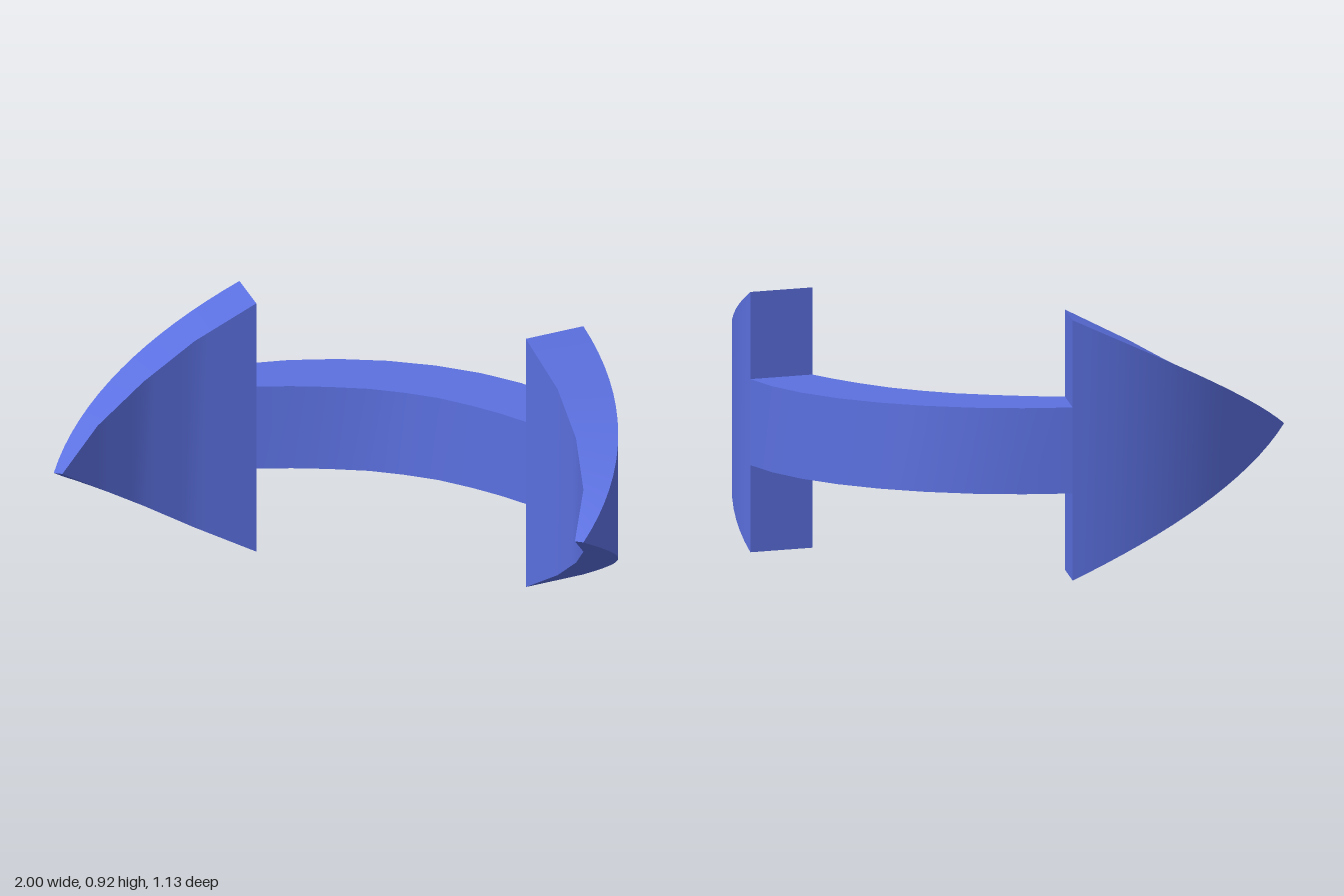
import * as THREE from 'three';
import { toCreasedNormals } from 'three/addons/utils/BufferGeometryUtils.js';

const MID = 0.46, SHAFT = 0.152, HEAD = 0.46;   // centre height and half heights
const CENTRE_Z = 0.435, JOINT = 40.1, TIP = 97.2; // outer arc of radius 1, angles in degrees

// Inner edge points [x, z] of the shaft half and of a head
const SHAFT_INNER = [[0, -0.262], [0.13, -0.255], [0.27, -0.222], [0.39, -0.183], [0.505, -0.135]];
const HEAD_INNER = [[0.505, -0.135], [0.68, 0.01], [0.81, 0.165], [0.91, 0.35], [0.96, 0.56]];

function along(points, t) {
  const f = t * (points.length - 1);
  const i = Math.min(Math.floor(f), points.length - 2);
  return [0, 1].map((k) => THREE.MathUtils.lerp(points[i][k], points[i + 1][k], f - i));
}

// Four corners: outer top, outer bottom, inner bottom, inner top
function section(side, degrees, inner, half) {
  const a = THREE.MathUtils.degToRad(degrees);
  const ox = side * Math.sin(a), oz = CENTRE_Z - Math.cos(a);
  const ix = side * inner[0], iz = inner[1];
  return [[ox, MID + half, oz], [ox, MID - half, oz], [ix, MID - half, iz], [ix, MID + half, iz]]
    .map((p) => new THREE.Vector3(...p));
}

const shaftSection = (side, t) => section(side, JOINT * t, along(SHAFT_INNER, t), SHAFT);
const headSection = (side, t) =>
  section(side, THREE.MathUtils.lerp(JOINT, TIP, t), along(HEAD_INNER, t), HEAD * (1 - t));

function addQuad(out, a, b, c, d) {
  for (const tri of [[a, b, c], [a, c, d]]) {
    if (new THREE.Triangle(...tri).getArea() > 1e-7) tri.forEach((p) => out.push(p.x, p.y, p.z));
  }
}

// Skin sections running from -x to +x
function skin(out, sections) {
  for (let i = 0; i < sections.length - 1; i++) {
    const s = sections[i], n = sections[i + 1];
    for (let k = 0; k < 4; k++) addQuad(out, s[k], n[k], n[(k + 1) % 4], s[(k + 1) % 4]);
  }
}

function makeMesh(name, out, material) {
  const geometry = new THREE.BufferGeometry();
  geometry.setAttribute('position', new THREE.Float32BufferAttribute(out, 3));
  const mesh = new THREE.Mesh(toCreasedNormals(geometry, Math.PI / 6), material);
  mesh.name = name;
  return mesh;
}

export function createModel() {
  const group = new THREE.Group();
  group.name = 'curvedDoubleArrow';
  const material = new THREE.MeshStandardMaterial({ color: 0x5b70e0 });

  // Curved shaft, open where it meets the heads
  const shaft = [], shaftSections = [];
  for (let i = -4; i <= 4; i++) shaftSections.push(shaftSection(Math.sign(i), Math.abs(i) / 4));
  skin(shaft, shaftSections);
  group.add(makeMesh('shaft', shaft, material));

  // Tapering arrowheads with a shoulder above and below the shaft
  for (const side of [1, -1]) {
    const head = [], sections = [];
    for (let i = 0; i <= 16; i++) sections.push(headSection(side, i / 16));
    const [a, b, c, d] = sections[0];
    const [sa, sb, sc, sd] = shaftSection(side, 1);
    for (const q of [[a, sa, sd, d], [sb, b, c, sc]]) addQuad(head, ...(side > 0 ? q : q.reverse()));
    skin(head, side > 0 ? sections : sections.reverse());
    group.add(makeMesh(side > 0 ? 'leftArrowhead' : 'rightArrowhead', head, material));
  }
  return group;
}
